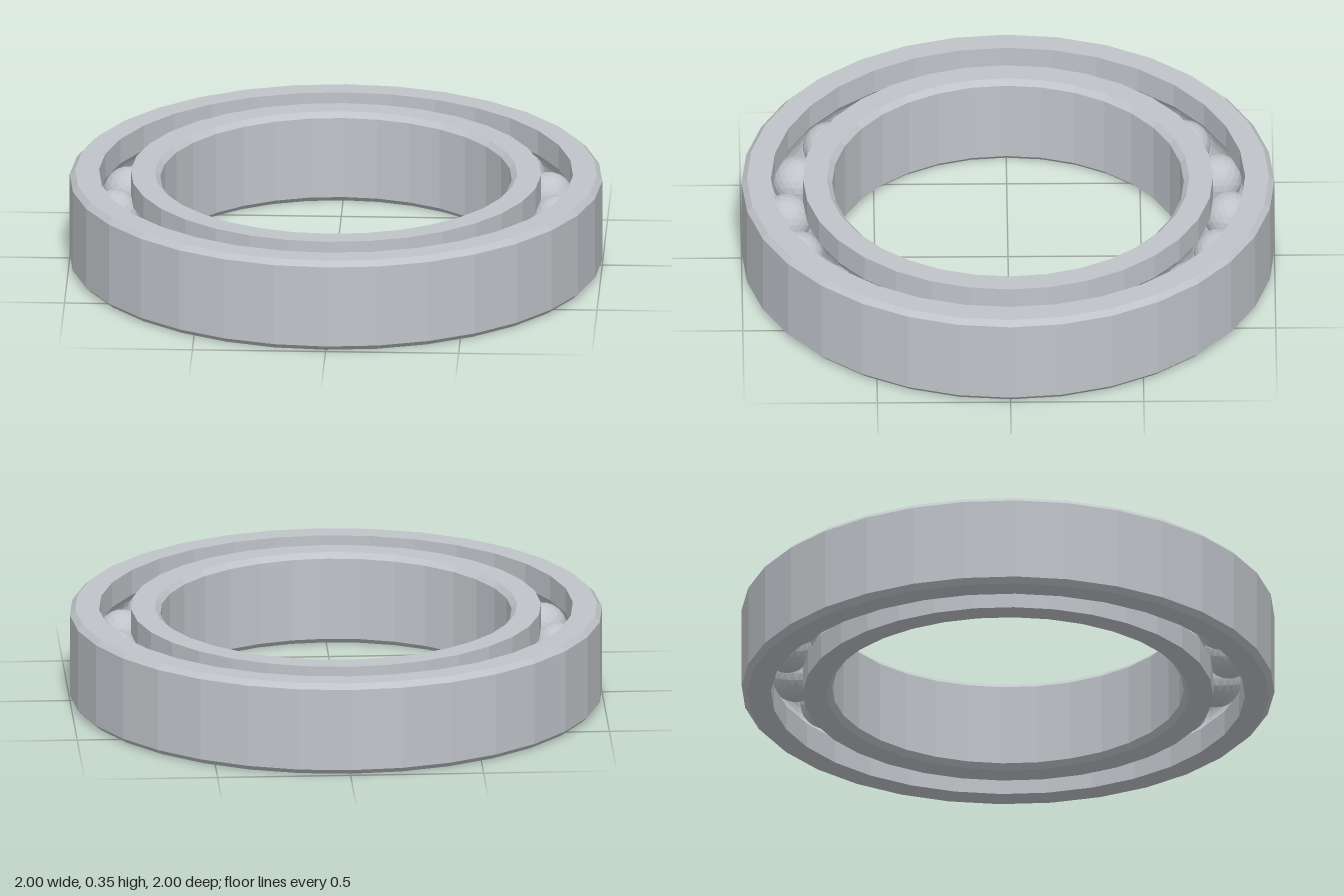
import * as THREE from 'three';

const HEIGHT = 0.355;
const MID = HEIGHT / 2;
const PITCH = 0.83;        // radius of the circle of ball centres
const BALL_RADIUS = 0.094;
const BALL_COUNT = 20;
const SIDES = 32;

// Closed cross-section of the outer race: chamfered outside, ball groove inside
function outerProfile() {
  const points = [[0.89, 0], [0.98, 0], [1, 0.02], [1, HEIGHT - 0.02], [0.98, HEIGHT], [0.89, HEIGHT]]
    .map(([r, y]) => new THREE.Vector2(r, y));
  const grooveRadius = 0.1;
  const half = Math.acos(0.06 / grooveRadius);
  for (let i = 0; i <= 8; i++) {
    const a = half - (i / 8) * 2 * half;
    points.push(new THREE.Vector2(PITCH + Math.cos(a) * grooveRadius, MID + Math.sin(a) * grooveRadius));
  }
  points.push(points[0].clone());
  return points;
}

export function createModel() {
  const steel = new THREE.MeshStandardMaterial({ color: 0xc0c4c9, flatShading: true });
  steel.name = 'steel';

  const group = new THREE.Group();
  group.name = 'ballBearing';

  const addRing = (name, profile) => {
    const ring = new THREE.Mesh(new THREE.LatheGeometry(profile, SIDES), steel);
    ring.name = name;
    group.add(ring);
  };

  // The inner race is the outer section mirrored across the ball circle
  const profile = outerProfile();
  addRing('outerRace', profile);
  addRing('innerRace', profile.map((p) => new THREE.Vector2(2 * PITCH - p.x, p.y)).reverse());

  // Balls between the races
  const balls = new THREE.Group();
  balls.name = 'balls';
  const ballGeometry = new THREE.IcosahedronGeometry(BALL_RADIUS, 3);
  for (let i = 0; i < BALL_COUNT; i++) {
    const a = (i / BALL_COUNT) * Math.PI * 2;
    const ball = new THREE.Mesh(ballGeometry, steel);
    ball.name = 'ball';
    ball.position.set(Math.sin(a) * PITCH, MID, Math.cos(a) * PITCH);
    balls.add(ball);
  }
  group.add(balls);

  return group;
}
